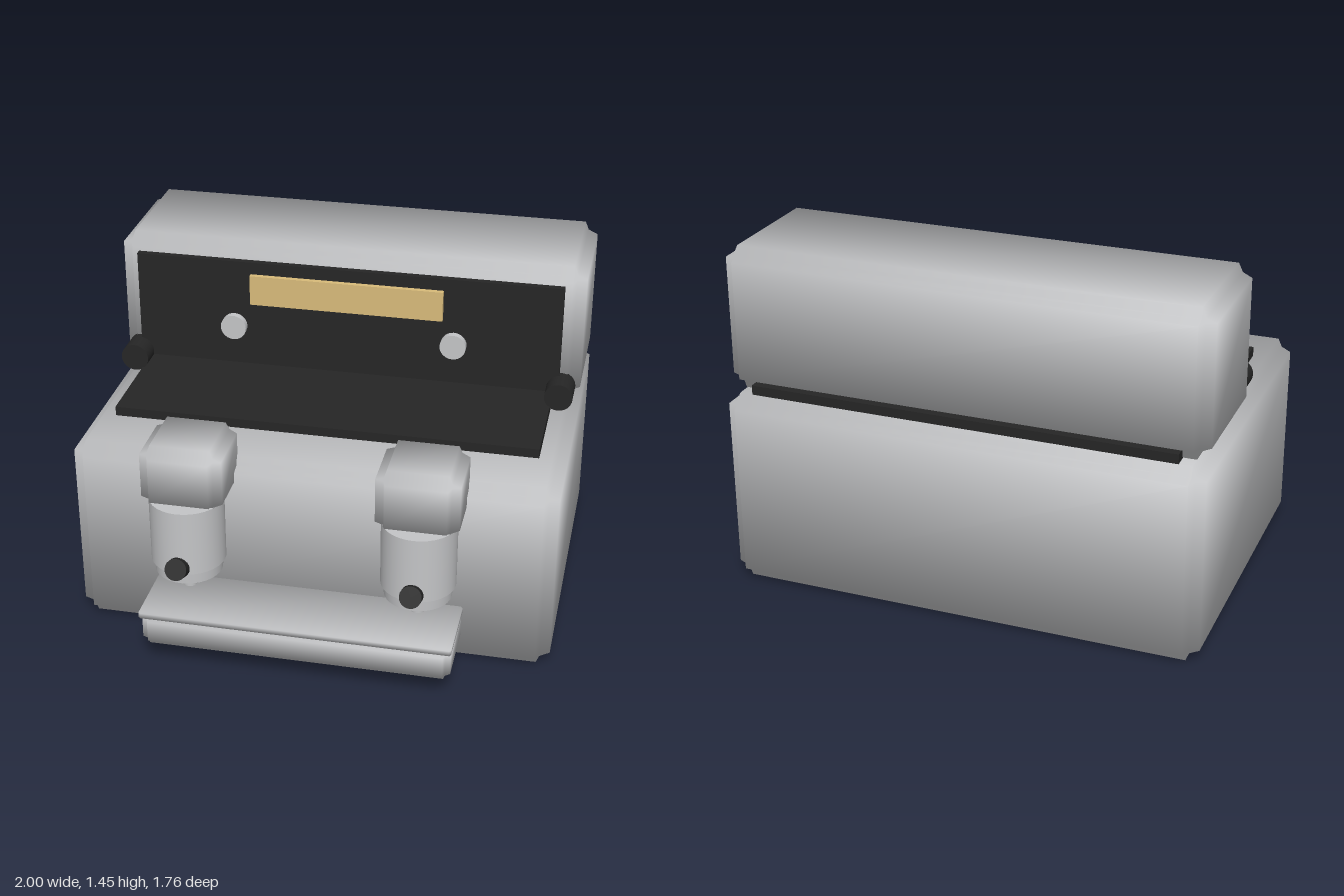
import * as THREE from 'three';

const steel = new THREE.MeshStandardMaterial({ name: 'steel', color: 0xc4c5c7 });
const black = new THREE.MeshStandardMaterial({ name: 'black', color: 0x262626 });
const gold = new THREE.MeshStandardMaterial({ name: 'gold', color: 0xd8bb7a });

function add(parent, name, geometry, material, x = 0, y = 0, z = 0) {
  const mesh = new THREE.Mesh(geometry, material);
  mesh.name = name;
  mesh.position.set(x, y, z);
  parent.add(mesh);
  return mesh;
}

// Box from its limits, centred on x
function box(parent, name, material, halfW, y0, y1, z0, z1) {
  const g = new THREE.BoxGeometry(halfW * 2, y1 - y0, z1 - z0);
  return add(parent, name, g, material, 0, (y0 + y1) / 2, (z0 + z1) / 2);
}

// Box whose edges and corners are notched inward, with softly blended normals
function notchedBox(parent, name, material, halfW, y0, y1, z0, z1, notch) {
  const half = [halfW, (y1 - y0) / 2, (z1 - z0) / 2];
  const g = new THREE.BoxGeometry(1, 1, 1, 3, 3, 3);
  const p = g.attributes.position;
  const n = g.attributes.normal;
  for (let i = 0; i < p.count; i++) {
    const v = [p.getX(i), p.getY(i), p.getZ(i)];
    const outer = v.filter((c) => Math.abs(c) > 0.4).length;
    const s = v.map(Math.sign);
    const q = v.map((c, k) => {
      const inset = Math.abs(c) < 0.4 ? notch : outer > 1 ? notch * 0.75 : 0;
      return s[k] * (half[k] - inset);
    });
    p.setXYZ(i, ...q);
    n.setXYZ(i, ...s.map((c) => c / Math.sqrt(3)));
  }
  return add(parent, name, g, material, 0, (y0 + y1) / 2, (z0 + z1) / 2);
}

// Round part along z
function disc(parent, name, material, r, x, y, z0, z1) {
  const g = new THREE.CylinderGeometry(r, r, z1 - z0, 24).rotateX(Math.PI / 2);
  return add(parent, name, g, material, x, y, (z0 + z1) / 2);
}

function brewGroup(x) {
  const group = new THREE.Group();
  group.name = 'brewGroup';
  group.position.x = x;
  notchedBox(group, 'groupHead', steel, 0.167, 0.695, 0.975, 0.452, 0.786, 0.045);

  // Brewing cylinder with its stepped lower collar
  add(group, 'brewCylinder', new THREE.CylinderGeometry(0.152, 0.152, 0.28, 32), steel, 0, 0.585, 0.675);
  add(group, 'filterBasket', new THREE.CylinderGeometry(0.14, 0.137, 0.06, 32), steel, 0, 0.423, 0.675);
  add(group, 'spout', new THREE.CylinderGeometry(0.036, 0.03, 0.1, 20), steel, 0, 0.36, 0.675);

  // Handle sloping up towards the front
  const handle = add(group, 'handle', new THREE.CylinderGeometry(0.045, 0.045, 0.4, 20), black, 0, 0.42, 0.68);
  handle.rotation.x = Math.PI / 2 - Math.atan(0.38);
  return group;
}

export function createModel() {
  const model = new THREE.Group();
  model.name = 'espressoMachine';

  // Main housing
  notchedBox(model, 'body', steel, 1, 0, 0.835, -0.88, 0.56, 0.055);
  notchedBox(model, 'upperHousing', steel, 1, 0.838, 1.445, -0.825, -0.215, 0.055);
  box(model, 'cupShelf', black, 0.89, 0.835, 0.875, -0.825, 0.28);

  // Control panel
  box(model, 'controlPanel', black, 0.915, 0.9, 1.375, -0.217, -0.187);
  box(model, 'badgePlate', gold, 0.415, 1.19, 1.322, -0.188, -0.165);

  for (const side of [-1, 1]) {
    disc(model, 'dial', steel, 0.055, side * 0.472, 1.11, -0.122, -0.092);
    disc(model, 'steamKnob', black, 0.06, side * 0.923, 0.918, -0.225, -0.1);
    model.add(brewGroup(side * 0.473));
  }

  // Drip tray
  notchedBox(model, 'dripTray', steel, 0.635, 0.1, 0.245, 0.45, 0.862, 0.028);
  notchedBox(model, 'dripGrate', steel, 0.64, 0.235, 0.268, 0.45, 0.87, 0.006);
  return model;
}
